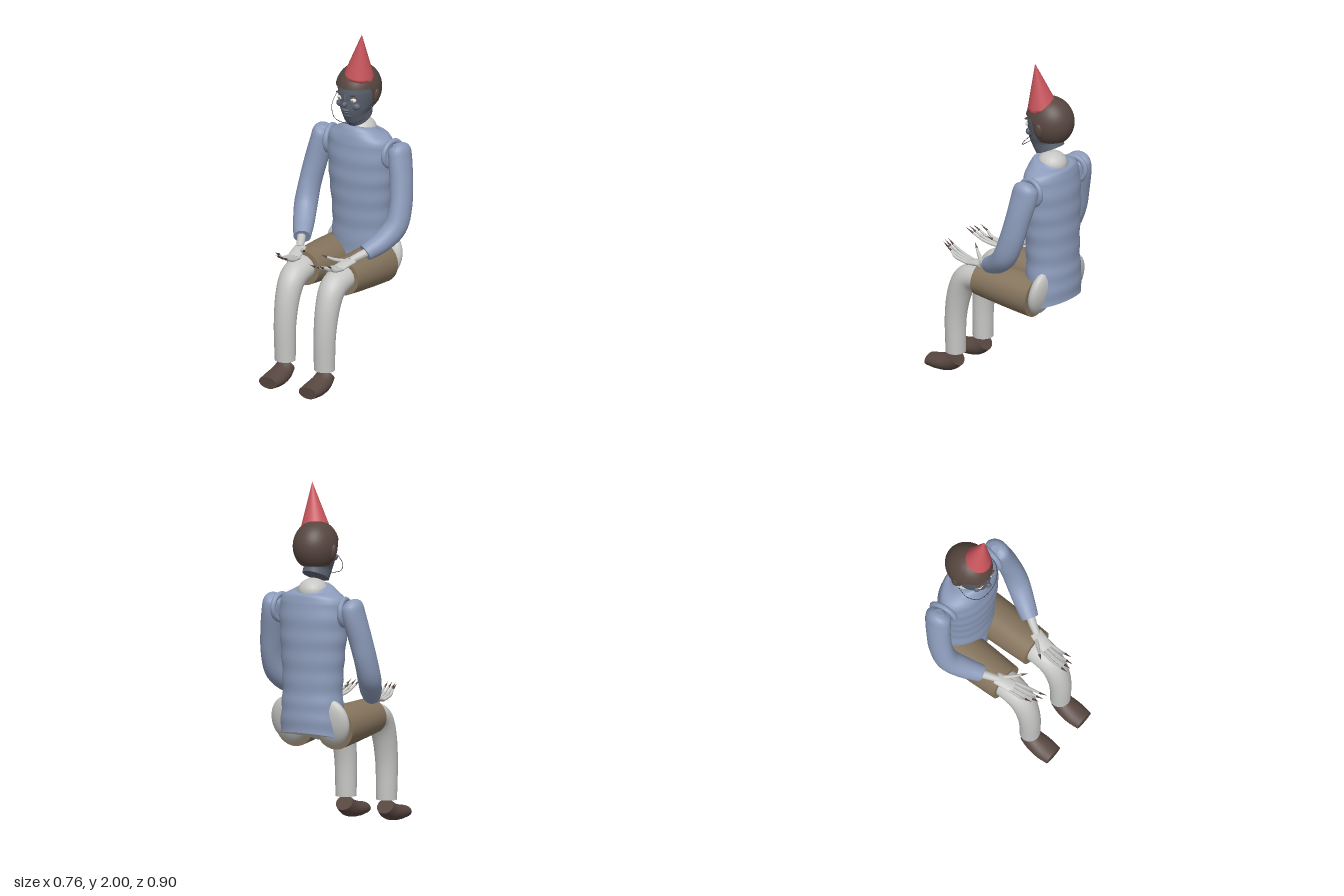
import * as THREE from 'three';

const mat = (name, color) => {
  const m = new THREE.MeshStandardMaterial({ color, side: THREE.DoubleSide });
  m.name = name;
  return m;
};

// Lofts elliptical sections [x, y, z, rx, ry] along a smooth path.
function loft(sections, { sides = 24, steps = 6, start = true, end = true } = {}) {
  const path = new THREE.CatmullRomCurve3(sections.map(s => new THREE.Vector3(s[0], s[1], s[2])), false, 'catmullrom');
  const size = new THREE.CatmullRomCurve3(sections.map(s => new THREE.Vector3(s[3], s[4] ?? s[3], 0)), false, 'catmullrom');
  const n = (sections.length - 1) * steps;
  const pos = [], idx = [];
  for (let i = 0; i <= n; i++) {
    const c = path.getPoint(i / n), r = size.getPoint(i / n), t = path.getTangent(i / n);
    const side = new THREE.Vector3(1, 0, 0).addScaledVector(t, -t.x).normalize();
    const up = new THREE.Vector3().crossVectors(t, side);
    for (let j = 0; j < sides; j++) {
      const a = j / sides * Math.PI * 2;
      const p = c.clone().addScaledVector(side, Math.cos(a) * r.x).addScaledVector(up, Math.sin(a) * r.y);
      pos.push(p.x, p.y, p.z);
    }
  }
  for (let i = 0; i < n; i++) for (let j = 0; j < sides; j++) {
    const a = i * sides + j, b = i * sides + (j + 1) % sides;
    idx.push(a, b, a + sides, b, b + sides, a + sides);
  }
  const cap = (ring, flip, c) => {
    const base = pos.length / 3;
    for (let j = 0; j < sides; j++) for (let k = 0; k < 3; k++) pos.push(pos[(ring * sides + j) * 3 + k]);
    pos.push(c.x, c.y, c.z);
    for (let j = 0; j < sides; j++) {
      const a = base + j, b = base + (j + 1) % sides;
      idx.push(base + sides, flip ? b : a, flip ? a : b);
    }
  };
  if (start) cap(0, true, path.getPoint(0));
  if (end) cap(n, false, path.getPoint(1));
  const g = new THREE.BufferGeometry();
  g.setAttribute('position', new THREE.Float32BufferAttribute(pos, 3));
  g.setIndex(idx);
  g.computeVertexNormals();
  return g;
}

export function createModel() {
  const model = new THREE.Group();
  const shirt = mat('shirt blue', 0x8c9bba), skin = mat('pale grey', 0xc6c6c4), cloth = mat('shorts brown', 0x85745d);
  const brown = mat('dark brown', 0x574640), face = mat('face slate', 0x5b626f), red = mat('hat red', 0xc9565d);
  const white = mat('eye white', 0xe2ded4), dark = mat('near black', 0x2c2a2a);

  const add = (name, geo, m, parent = model) => {
    const mesh = new THREE.Mesh(geo, m);
    mesh.name = name;
    parent.add(mesh);
    return mesh;
  };
  const ball = (name, m, p, s, parent = model) => {
    const mesh = add(name, new THREE.SphereGeometry(1, 24, 16), m, parent);
    mesh.position.set(...p);
    mesh.scale.set(...s);
    return mesh;
  };

  // Torso: padded shirt with soft horizontal folds and a slanted hem
  const slant = (g, fold) => {
    const p = g.attributes.position;
    for (let i = 0; i < p.count; i++) {
      const x = p.getX(i), y = p.getY(i), z = p.getZ(i);
      const k = fold && y < 1.32 ? 1 + 0.012 * Math.sin(y * 52) : 1;
      const drop = THREE.MathUtils.clamp((0.8 - y) / 0.25, 0, 1);
      p.setXYZ(i, x * k, y - (z + 0.3) * 0.27 * drop, -0.3 + (z + 0.3) * k);
    }
    g.computeVertexNormals();
    return g;
  };
  add('torso', slant(loft([
    [0, 0.55, -0.305, 0.195, 0.138], [0, 0.68, -0.305, 0.192, 0.14], [0, 0.82, -0.302, 0.183, 0.136],
    [0, 0.97, -0.298, 0.19, 0.139], [0, 1.12, -0.294, 0.204, 0.142], [0, 1.25, -0.292, 0.21, 0.138],
    [0, 1.345, -0.289, 0.2, 0.125], [0, 1.388, -0.289, 0.14, 0.112], [0, 1.412, -0.294, 0.085, 0.085],
  ], { sides: 48, steps: 10, start: false }), true), shirt);
  add('torsoBase', slant(loft([[0, 0.55, -0.305, 0.194, 0.137], [0, 0.556, -0.305, 0.19, 0.134]],
    { sides: 48, steps: 1 }), false), skin);
  ball('neck', skin, [0, 1.39, -0.297], [0.086, 0.072, 0.088]);

  for (const s of [1, -1]) {
    const label = s > 0 ? 'left' : 'right';
    const limb = new THREE.Group();
    limb.name = label + 'Limbs';
    model.add(limb);
    const tube = (name, m, secs, opt) => add(label + name, loft(secs.map(([x, ...r]) => [x * s, ...r]), opt), m, limb);

    // Arm: bent sleeve with a shoulder seam
    tube('Sleeve', shirt, [
      [0.247, 1.352, -0.297, 0.02, 0.025], [0.258, 1.325, -0.295, 0.056, 0.07], [0.27, 1.26, -0.29, 0.062, 0.08],
      [0.295, 1.13, -0.264, 0.064, 0.074], [0.313, 1.0, -0.232, 0.062, 0.074], [0.308, 0.89, -0.185, 0.066, 0.07],
      [0.268, 0.815, -0.105, 0.062, 0.06], [0.218, 0.766, -0.015, 0.05, 0.048],
    ]);
    const seam = add(label + 'ShoulderSeam', new THREE.TorusGeometry(0.074, 0.016, 10, 32), shirt, limb);
    seam.position.set(0.212 * s, 1.28, -0.297);
    seam.rotation.y = Math.PI / 2 - 0.15 * s;

    // Hand: wrist, palm, clawed fingers and thumb
    tube('Wrist', skin, [[0.238, 0.778, -0.04, 0.026], [0.205, 0.757, 0.015, 0.024], [0.175, 0.738, 0.075, 0.02]], { sides: 16 });
    tube('Palm', skin, [[0.177, 0.737, 0.062, 0.036, 0.015], [0.165, 0.729, 0.11, 0.038, 0.017], [0.152, 0.717, 0.172, 0.039, 0.012]]);
    for (let i = 0; i < 4; i++) {
      const bx = 0.12 + i * 0.021, tx = 0.092 + i * 0.028, len = [0, 0, -0.008, -0.04][i];
      const end = [tx + (bx - tx) * 0.2, 0.766, 0.32 + len];
      tube('Finger', skin, [[bx, 0.716, 0.16, 0.0095], [(bx + tx) / 2, 0.733, 0.245, 0.009], [...end, 0.006]], { sides: 10, steps: 5 });
      tube('Nail', brown, [[...end, 0.0065], [tx, 0.792, 0.363 + len, 0.0006]], { sides: 10, steps: 1 });
    }
    tube('Thumb', skin, [[0.148, 0.735, 0.09, 0.012], [0.11, 0.75, 0.135, 0.01], [0.078, 0.772, 0.172, 0.0065]], { sides: 10 });
    tube('ThumbNail', brown, [[0.078, 0.772, 0.172, 0.007], [0.055, 0.792, 0.2, 0.0006]], { sides: 10, steps: 1 });

    // Leg: hip pad, shorts, bent shin and shoe
    const hip = ball(label + 'Hip', skin, [0.14 * s, 0.645, -0.325], [0.116, 0.138, 0.05], limb);
    hip.rotation.x = -0.2;
    tube('Shorts', cloth, [[0.134, 0.604, -0.285, 0.124, 0.122], [0.135, 0.618, -0.1, 0.12, 0.115], [0.135, 0.632, 0.1, 0.111, 0.103]], { sides: 32 });
    tube('Leg', skin, [
      [0.138, 0.636, 0.04, 0.082, 0.072], [0.138, 0.634, 0.12, 0.082, 0.073], [0.138, 0.6, 0.2, 0.077, 0.076],
      [0.138, 0.5, 0.25, 0.071, 0.07], [0.137, 0.34, 0.277, 0.065, 0.062], [0.135, 0.13, 0.278, 0.061, 0.058],
    ]);
    tube('Shoe', brown, [
      [0.137, 0.092, 0.262, 0.054, 0.047], [0.137, 0.059, 0.312, 0.062, 0.051],
      [0.137, 0.045, 0.38, 0.067, 0.045], [0.137, 0.042, 0.452, 0.06, 0.035],
    ]);
  }

  // Head, floating just above the neck
  const head = new THREE.Group();
  head.name = 'head';
  head.position.x = -0.007;
  model.add(head);
  add('skull', loft([
    [0, 1.472, -0.28, 0.073, 0.09], [0, 1.515, -0.26, 0.074, 0.1], [0, 1.55, -0.256, 0.088, 0.115],
    [0, 1.6, -0.264, 0.1, 0.124], [0, 1.66, -0.267, 0.106, 0.127], [0, 1.72, -0.267, 0.095, 0.112], [0, 1.76, -0.267, 0.05, 0.06],
  ], { sides: 32 }), face, head);
  ball('nose', face, [0, 1.585, -0.14], [0.015, 0.018, 0.024], head);
  ball('noseBridge', face, [0, 1.612, -0.144], [0.009, 0.035, 0.014], head);
  ball('upperLip', face, [0, 1.55, -0.143], [0.025, 0.007, 0.017], head);
  ball('lowerLip', face, [0, 1.537, -0.148], [0.022, 0.008, 0.017], head);
  ball('mouth', dark, [0, 1.544, -0.143], [0.022, 0.0025, 0.014], head);
  ball('chin', face, [0, 1.512, -0.172], [0.034, 0.019, 0.022], head);

  for (const s of [1, -1]) {
    ball('eye', white, [0.045 * s, 1.613, -0.156], [0.019, 0.013, 0.013], head);
    ball('pupil', dark, [0.045 * s, 1.613, -0.146], [0.005, 0.006, 0.004], head);
    ball('brow', brown, [0.045 * s, 1.643, -0.152], [0.026, 0.006, 0.01], head).rotation.z = 0.12 * s;
    ball('cheek', face, [0.05 * s, 1.572, -0.172], [0.03, 0.022, 0.02], head);
    ball('ear', brown, [0.118 * s, 1.618, -0.28], [0.018, 0.046, 0.026], head).rotation.z = -0.15 * s;
  }

  // Hair: dome whose lower edge is high at the brow and low at the nape
  const hair = new THREE.SphereGeometry(1, 64, 28);
  const hp = hair.attributes.position, uv = hair.attributes.uv;
  for (let i = 0; i < hp.count; i++) {
    const az = uv.getX(i) * Math.PI * 2, f = Math.cos(az);
    const th = (1 - uv.getY(i)) * THREE.MathUtils.lerp(2.45, 1.37, THREE.MathUtils.smoothstep(f, 0.02, 0.38));
    hp.setXYZ(i, 0.127 * Math.sin(th) * Math.sin(az), 1.645 + 0.145 * Math.cos(th), -0.277 + 0.146 * Math.sin(th) * f);
  }
  hair.computeVertexNormals();
  add('hair', hair, brown, head);

  // Thin cord hanging from the ears under the chin
  const cord = [[-0.128, 1.6, -0.25], [-0.125, 1.54, -0.19], [-0.075, 1.488, -0.14], [0, 1.476, -0.128],
    [0.075, 1.488, -0.14], [0.132, 1.54, -0.19], [0.132, 1.6, -0.25]].map(p => new THREE.Vector3(...p));
  add('cord', new THREE.TubeGeometry(new THREE.CatmullRomCurve3(cord), 48, 0.0016, 6), dark, head);

  // Pointed party hat, worn tilted
  add('hat', loft([[0.019, 1.738, -0.242, 0.086, 0.084], [0.055, 2, -0.217, 0.0006]], { sides: 32, steps: 8 }), red);

  return model;
}
